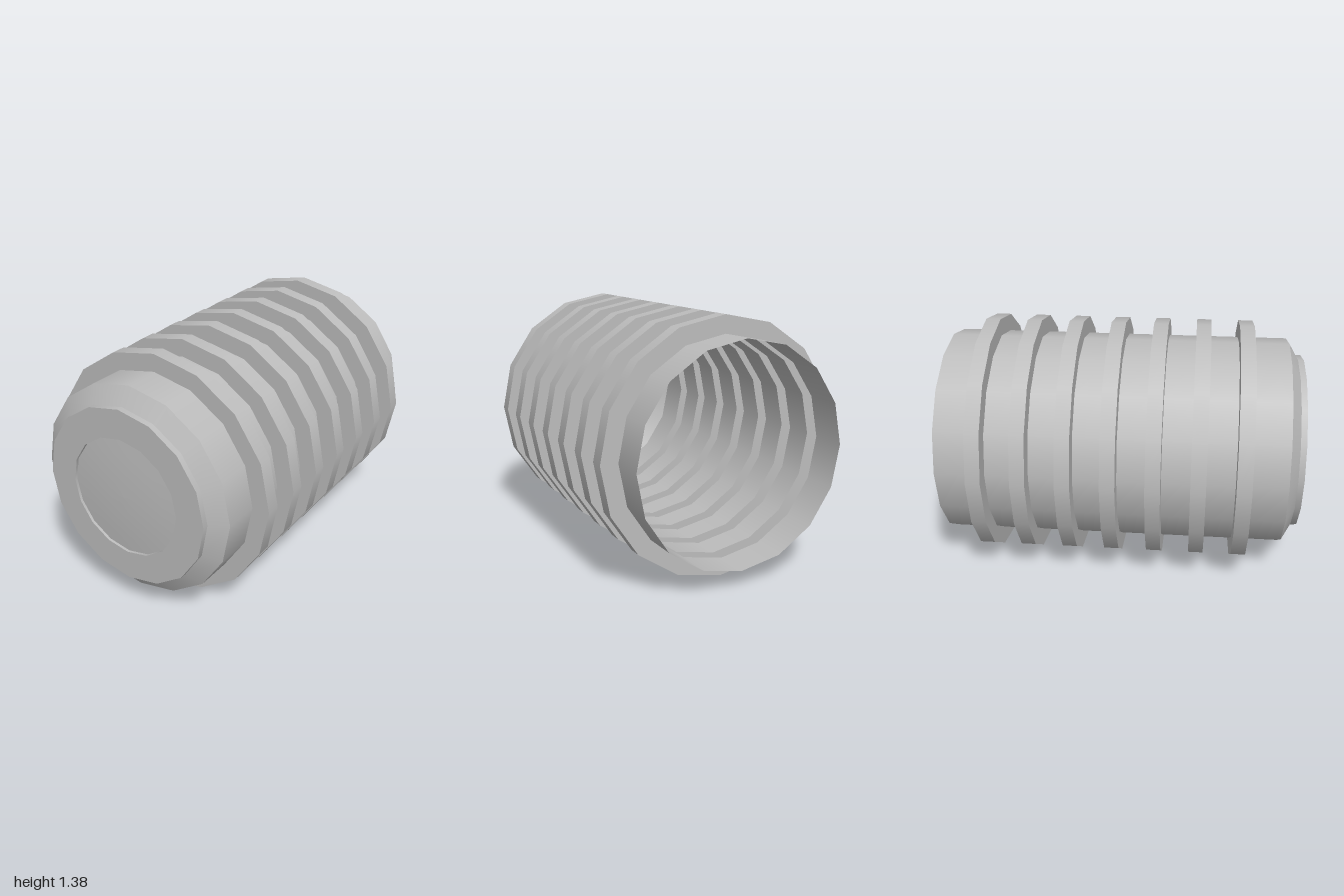
import * as THREE from 'three';
import { mergeGeometries } from 'three/addons/utils/BufferGeometryUtils.js';

const SIDES = 16;
const BODY_R = 0.595, RING_R = 0.6925;
const RINGS = 7, RING_PITCH = 0.239, RING_WIDTH = 0.082, FIRST_RING = -0.802;

// Turned surface along z from [radius, z] points; each profile step keeps a hard edge
function turned(profile) {
  const strips = [];
  for (let i = 0; i + 1 < profile.length; i++) {
    const pair = [profile[i], profile[i + 1]].map(([r, z]) => new THREE.Vector2(r, z));
    strips.push(new THREE.LatheGeometry(pair, SIDES));
  }
  return mergeGeometries(strips).rotateX(Math.PI / 2);
}

export function createModel() {
  const grey = new THREE.MeshStandardMaterial({ color: 0xbcbcbc, side: THREE.DoubleSide });
  grey.name = 'grey';

  const model = new THREE.Group();
  model.name = 'ribbedCanister';
  const add = (name, geometry) => {
    const mesh = new THREE.Mesh(geometry, grey);
    mesh.name = name;
    mesh.position.y = RING_R;
    model.add(mesh);
  };

  // Thin open-backed shell whose ribs are pushed outwards, hollow inside
  const shell = [[BODY_R, -1]];
  for (let i = 0; i < RINGS; i++) {
    const z = FIRST_RING + i * RING_PITCH;
    shell.push([BODY_R, z], [RING_R, z], [RING_R, z + RING_WIDTH], [BODY_R, z + RING_WIDTH]);
  }
  shell.push([BODY_R, 0.912]);
  add('ribbedShell', turned(shell));

  // Chamfered shoulder, short neck and flat front rim
  add('frontCap', turned([[BODY_R, 0.912], [0.5, 0.967], [0.5, 1], [0.335, 1], [0.335, 0.985]]));

  // Shallow smooth lens set in the rim
  const dome = [];
  for (let i = 0; i <= 4; i++) {
    const t = 1 - i / 4;
    dome.push(new THREE.Vector2(0.335 * t, 1 - 0.015 * t * t));
  }
  add('frontLens', new THREE.LatheGeometry(dome, SIDES).rotateX(Math.PI / 2));

  return model;
}
